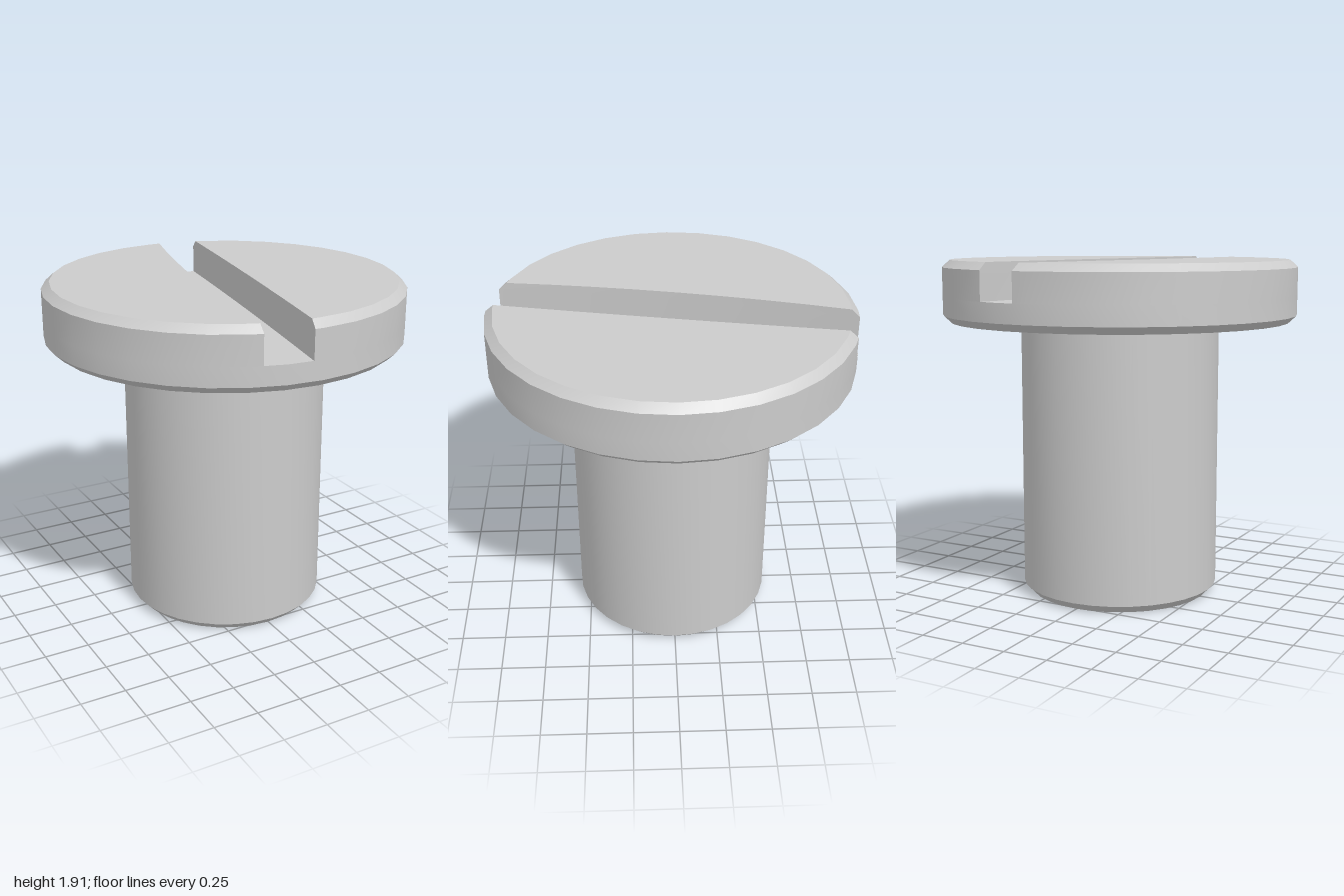
import * as THREE from 'three';
import { toCreasedNormals } from 'three/addons/utils/BufferGeometryUtils.js';

const SIDES = 32;
const SLOT_FLOOR = 1.71;
const material = new THREE.MeshStandardMaterial({ color: 0xcccccc });

function addPart(group, name, geometry) {
  const flat = geometry.index ? geometry.toNonIndexed() : geometry;
  const mesh = new THREE.Mesh(toCreasedNormals(flat, 0.45), material);
  mesh.name = name;
  group.add(mesh);
}

const turned = (profile) =>
  new THREE.LatheGeometry(profile.map(([r, y]) => new THREE.Vector2(r, y)), SIDES);

// Slot walls in plan, x as a function of v = -z (slightly bowed)
const leftWall = (v) => -0.167 + 0.2 * v + 0.05 * v * v;
const rightWall = (v) => 0.138 + 0.185 * v - 0.01 * v * v;

// Where a slot wall meets the circle of radius r
function wallEnd(wall, r, sign) {
  let v = sign * r;
  for (let i = 0; i < 20; i++) v = sign * Math.sqrt(r * r - wall(v) ** 2);
  return v;
}

// Counter-clockwise plan outline of one half of the slotted head
function halfOutline(wall, r, isRight) {
  const start = wallEnd(wall, r, isRight ? -1 : 1);
  const end = wallEnd(wall, r, isRight ? 1 : -1);
  const a0 = Math.atan2(start, wall(start));
  let a1 = Math.atan2(end, wall(end));
  if (a1 < a0) a1 += 2 * Math.PI;
  const points = [new THREE.Vector2(wall(start), start)];
  const step = (2 * Math.PI) / SIDES;
  for (let i = Math.ceil(a0 / step); i * step < a1; i++)
    points.push(new THREE.Vector2(r * Math.cos(i * step), r * Math.sin(i * step)));
  const cuts = 8;
  for (let i = 0; i < cuts; i++) {
    const v = THREE.MathUtils.lerp(end, start, i / cuts);
    points.push(new THREE.Vector2(wall(v), v));
  }
  return points;
}

// Stacked outlines joined by walls and closed with a flat top
function headHalf(wall, isRight) {
  const layers = [[1, SLOT_FLOOR], [1, 1.87], [0.955, 1.91]].map(([r, y]) =>
    halfOutline(wall, r, isRight).map((p) => new THREE.Vector3(p.x, y, -p.y)));
  const positions = [];
  const tri = (...corners) => corners.forEach((p) => positions.push(p.x, p.y, p.z));
  const n = layers[0].length;
  for (let k = 0; k < layers.length - 1; k++) {
    const low = layers[k], high = layers[k + 1];
    for (let i = 0; i < n; i++) {
      const j = (i + 1) % n;
      tri(low[i], low[j], high[j]);
      tri(low[i], high[j], high[i]);
    }
  }
  const top = layers[layers.length - 1];
  const plan = top.map((p) => new THREE.Vector2(p.x, -p.z));
  for (const [a, b, c] of THREE.ShapeUtils.triangulateShape(plan, []))
    tri(top[a], top[b], top[c]);
  const geometry = new THREE.BufferGeometry();
  geometry.setAttribute('position', new THREE.Float32BufferAttribute(positions, 3));
  return geometry;
}

export function createModel() {
  const model = new THREE.Group();
  model.name = 'slottedScrew';

  // Shank with a chamfered tip
  addPart(model, 'shank', turned([[0, 0], [0.52, 0], [0.563, 0.045], [0.563, 1.57]]));

  // Lower head with chamfered underside; its top is the slot floor
  addPart(model, 'headBase',
    turned([[0, 1.565], [0.957, 1.565], [1, 1.605], [1, SLOT_FLOOR], [0, SLOT_FLOOR]]));

  // Upper head on both sides of the slot
  addPart(model, 'headRightOfSlot', headHalf(rightWall, true));
  addPart(model, 'headLeftOfSlot', headHalf(leftWall, false));
  return model;
}
